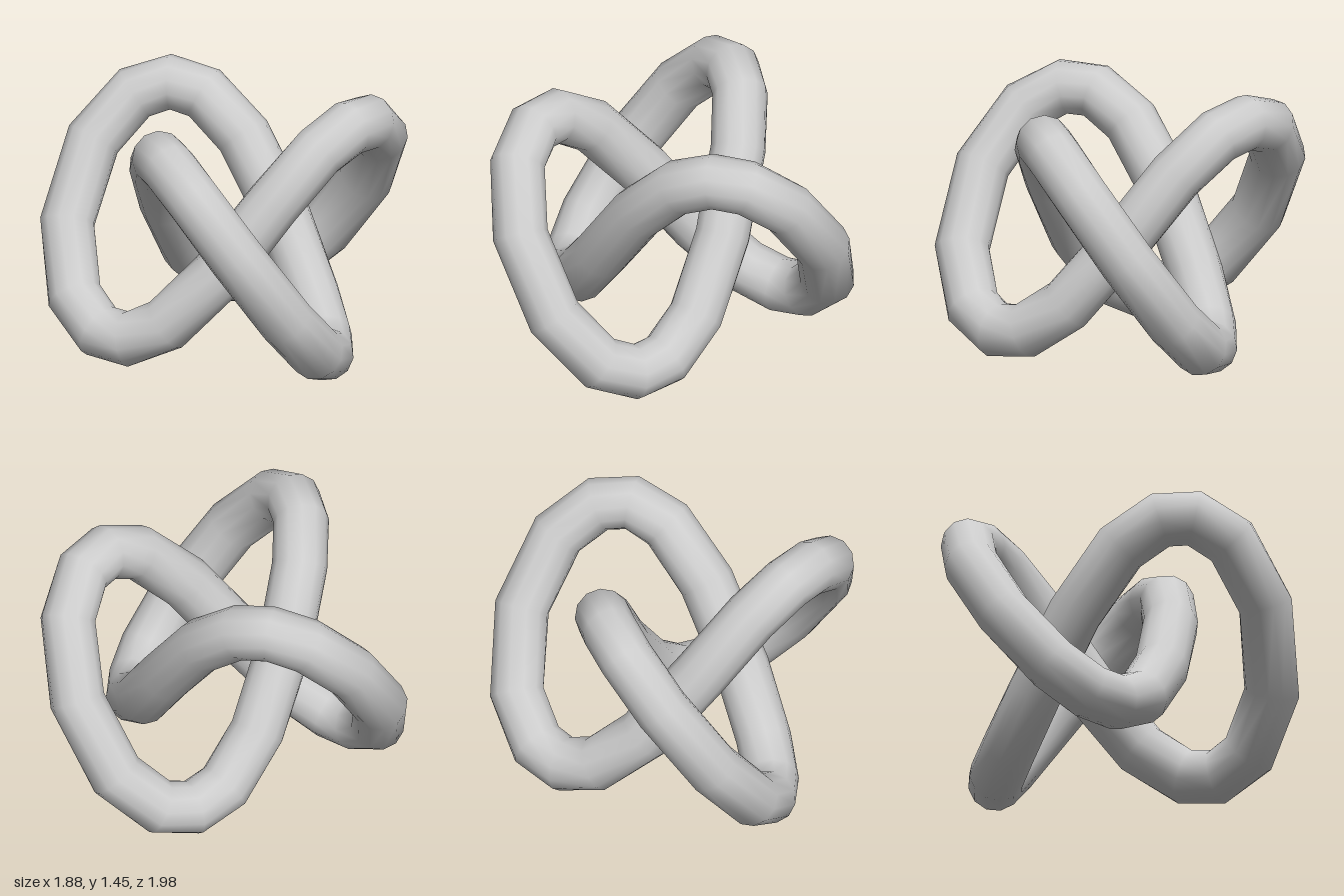
import * as THREE from 'three';

// Closed three-lobed knot path, threefold about a vertical axis
class KnotCurve extends THREE.Curve {
  getPoint(u, target = new THREE.Vector3()) {
    const s = Math.PI + 0.047 + u * Math.PI * 2;
    // Rings sit closer together at the crests and troughs
    const t = s + 0.045 * Math.sin(6 * s);
    return target.set(
      0.12 + 0.25 * Math.cos(t) - 0.63 * Math.cos(2 * t) + 0.04 * Math.cos(5 * t),
      0.725 + 0.575 * Math.sin(3 * t),
      0.25 * Math.sin(t) + 0.63 * Math.sin(2 * t) - 0.04 * Math.sin(5 * t)
    );
  }
  // Even steps in the parameter rather than in arc length
  getUtoTmapping(u) {
    return u;
  }
}

export function createModel() {
  const group = new THREE.Group();
  group.name = 'knot';

  // Coarse along its length, smooth shaded
  const tube = new THREE.Mesh(
    new THREE.TubeGeometry(new KnotCurve(), 34, 0.15, 12, true),
    new THREE.MeshStandardMaterial({ color: 0xcccccc })
  );
  tube.name = 'knotTube';
  group.add(tube);
  return group;
}
